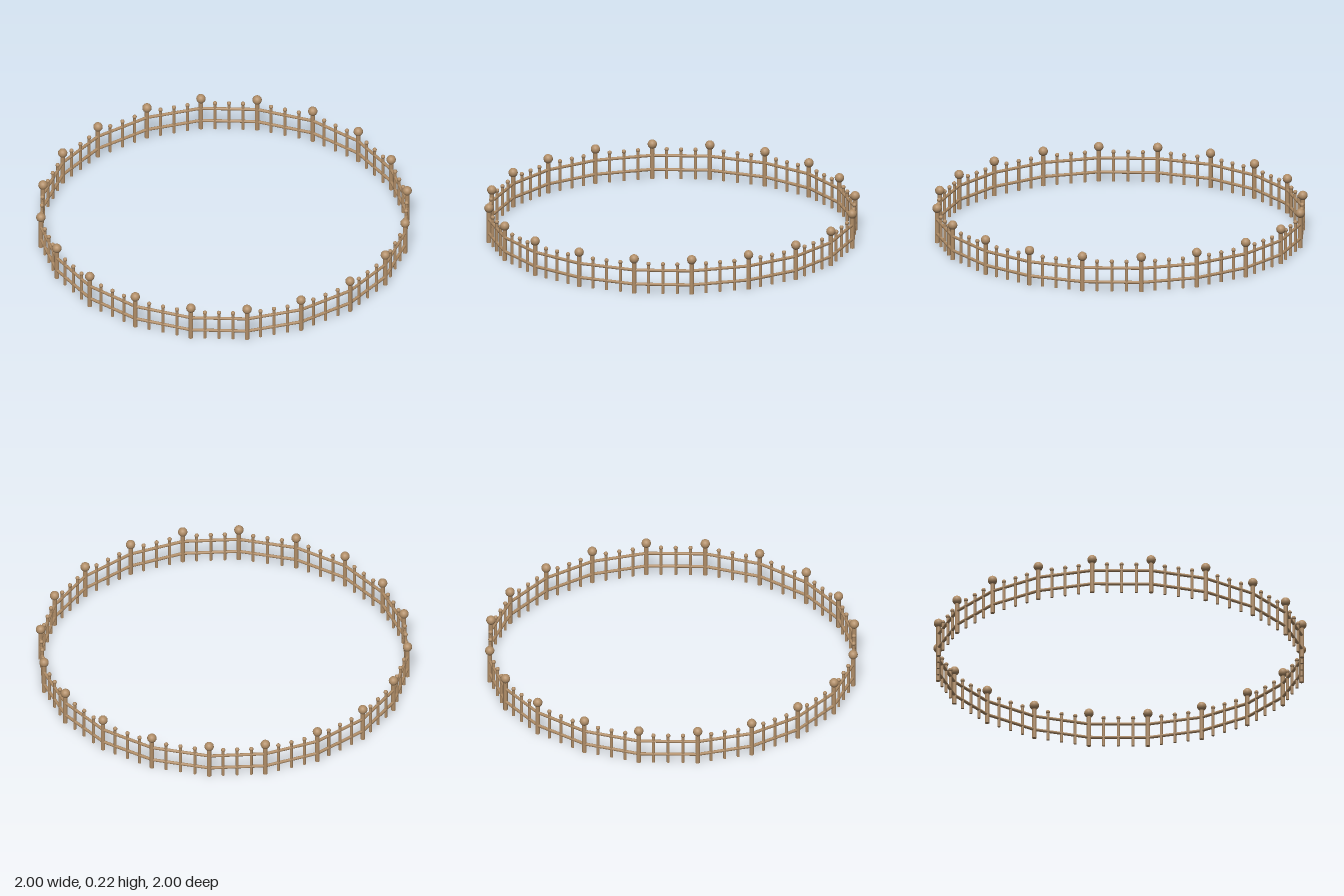
import * as THREE from 'three';

const PICKETS = 3;     // pickets between neighbouring posts
// Post positions (x, z) over one quarter of the ring; the others are quarter turns
const QUARTER = [[0, 0.974], [0.293, 0.926], [0.571, 0.786], [0.786, 0.571], [0.926, 0.293]];

export function createModel() {
  const fence = new THREE.Group();
  fence.name = 'roundFence';
  const wood = new THREE.MeshStandardMaterial({ color: 0xb18e68 });
  wood.name = 'tanWood';

  const add = (name, geometry, position) => {
    const mesh = new THREE.Mesh(geometry, wood);
    mesh.name = name;
    mesh.position.copy(position);
    fence.add(mesh);
    return mesh;
  };
  const at = (p, y) => new THREE.Vector3(p.x, y, p.z);

  const up = new THREE.Vector3(0, 1, 0);
  const corners = [];
  for (let q = 0; q < 4; q++) {
    for (const [x, z] of QUARTER) {
      corners.push(new THREE.Vector3(x, 0, z).applyAxisAngle(up, q * Math.PI / 2));
    }
  }

  const postGeo = new THREE.CylinderGeometry(0.012, 0.012, 0.18, 12);
  const knobGeo = new THREE.SphereGeometry(0.025, 16, 12);
  const picketGeo = new THREE.CylinderGeometry(0.008, 0.008, 0.16, 10);
  const tipGeo = new THREE.SphereGeometry(0.0115, 12, 8);

  corners.forEach((a, i) => {
    const b = corners[(i + 1) % corners.length];

    // Main post with its round knob
    add('post', postGeo, at(a, 0.09));
    add('postKnob', knobGeo, at(a, 0.19));

    // Two straight rails to the next post
    const middle = a.clone().lerp(b, 0.5);
    const direction = b.clone().sub(a).normalize();
    const railGeo = new THREE.CylinderGeometry(0.0083, 0.0083, a.distanceTo(b), 10);
    for (const [name, y] of [['lowerRail', 0.05], ['upperRail', 0.128]]) {
      add(name, railGeo, at(middle, y)).quaternion.setFromUnitVectors(up, direction);
    }

    // Thin pickets with small round tips
    for (let k = 1; k <= PICKETS; k++) {
      const p = a.clone().lerp(b, k / (PICKETS + 1));
      add('picket', picketGeo, at(p, 0.08));
      add('picketTip', tipGeo, at(p, 0.163));
    }
  });
  return fence;
}
